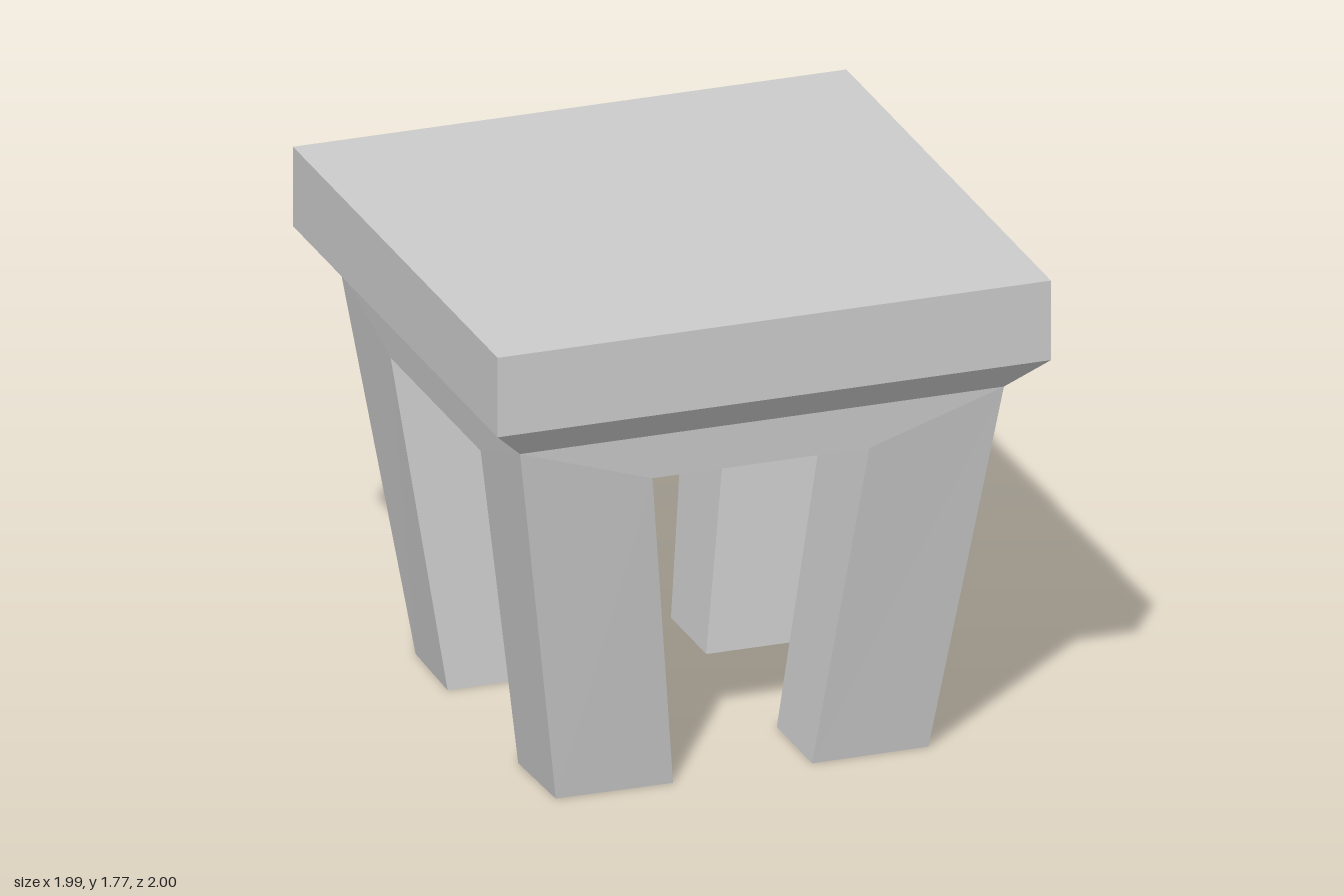
import * as THREE from 'three';

const material = new THREE.MeshStandardMaterial({
  color: 0xcccccc, flatShading: true, side: THREE.DoubleSide,
});

// Builds a mesh from four-cornered faces, mirrored by the signs sx and sz
function quadMesh(name, quads, sx = 1, sz = 1) {
  const positions = [];
  for (const quad of quads) {
    const q = quad.map(([x, y, z]) => [x * sx, y, z * sz]);
    if (sx * sz < 0) q.reverse();
    for (const i of [0, 1, 2, 0, 2, 3]) positions.push(...q[i]);
  }
  const geometry = new THREE.BufferGeometry();
  geometry.setAttribute('position', new THREE.Float32BufferAttribute(positions, 3));
  geometry.computeVertexNormals();
  const mesh = new THREE.Mesh(geometry, material);
  mesh.name = name;
  return mesh;
}

// Corners of a horizontal rectangle, counterclockwise seen from above
const ring = (x, y, z) => [[-x, y, z], [x, y, z], [x, y, -z], [-x, y, -z]];

// Four walls between two rings
const walls = (low, high) => low.map((p, i) => {
  const j = (i + 1) % 4;
  return [p, low[j], high[j], high[i]];
});

export function createModel() {
  const model = new THREE.Group();

  // Hollow slab, open below
  const apronTop = ring(0.87, 1.36, 0.88);
  const slabLow = ring(0.995, 1.485, 1);
  const slabHigh = ring(0.995, 1.775, 1);
  model.add(quadMesh('tabletop', [...walls(slabLow, slabHigh), slabHigh]));
  model.add(quadMesh('bevel', walls(apronTop, slabLow)));

  // Key points of the front left leg
  const corner = [0.87, 1.36, 0.88];
  const foot = [0.67, 0, 0.685];
  const frontFoot = [0.25, 0, 0.69], frontArch = [0.39, 1.2, 0.87];
  const sideFoot = [0.68, 0, 0.345], sideArch = [0.85, 1.2, 0.44];
  const innerFoot = [0.25, 0, 0.345], innerTop = [0.39, 1.2, 0.44];

  // Hollow tapered legs, open at the foot
  const legFaces = [
    [frontFoot, foot, corner, frontArch],
    [foot, sideFoot, sideArch, corner],
    [sideFoot, innerFoot, innerTop, sideArch],
    [innerFoot, frontFoot, frontArch, innerTop],
  ];
  for (const sz of [1, -1]) {
    for (const sx of [1, -1]) {
      const name = (sz > 0 ? 'front' : 'back') + (sx > 0 ? 'Left' : 'Right') + 'Leg';
      model.add(quadMesh(name, legFaces, sx, sz));
    }
  }

  // Apron panels above the openings
  const flipX = ([x, y, z]) => [-x, y, z];
  const flipZ = ([x, y, z]) => [x, y, -z];
  const frontPanel = [[flipX(frontArch), frontArch, corner, flipX(corner)]];
  const sidePanel = [[sideArch, flipZ(sideArch), flipZ(corner), corner]];
  model.add(quadMesh('frontApron', frontPanel), quadMesh('backApron', frontPanel, 1, -1));
  model.add(quadMesh('leftApron', sidePanel), quadMesh('rightApron', sidePanel, -1, 1));

  return model;
}
